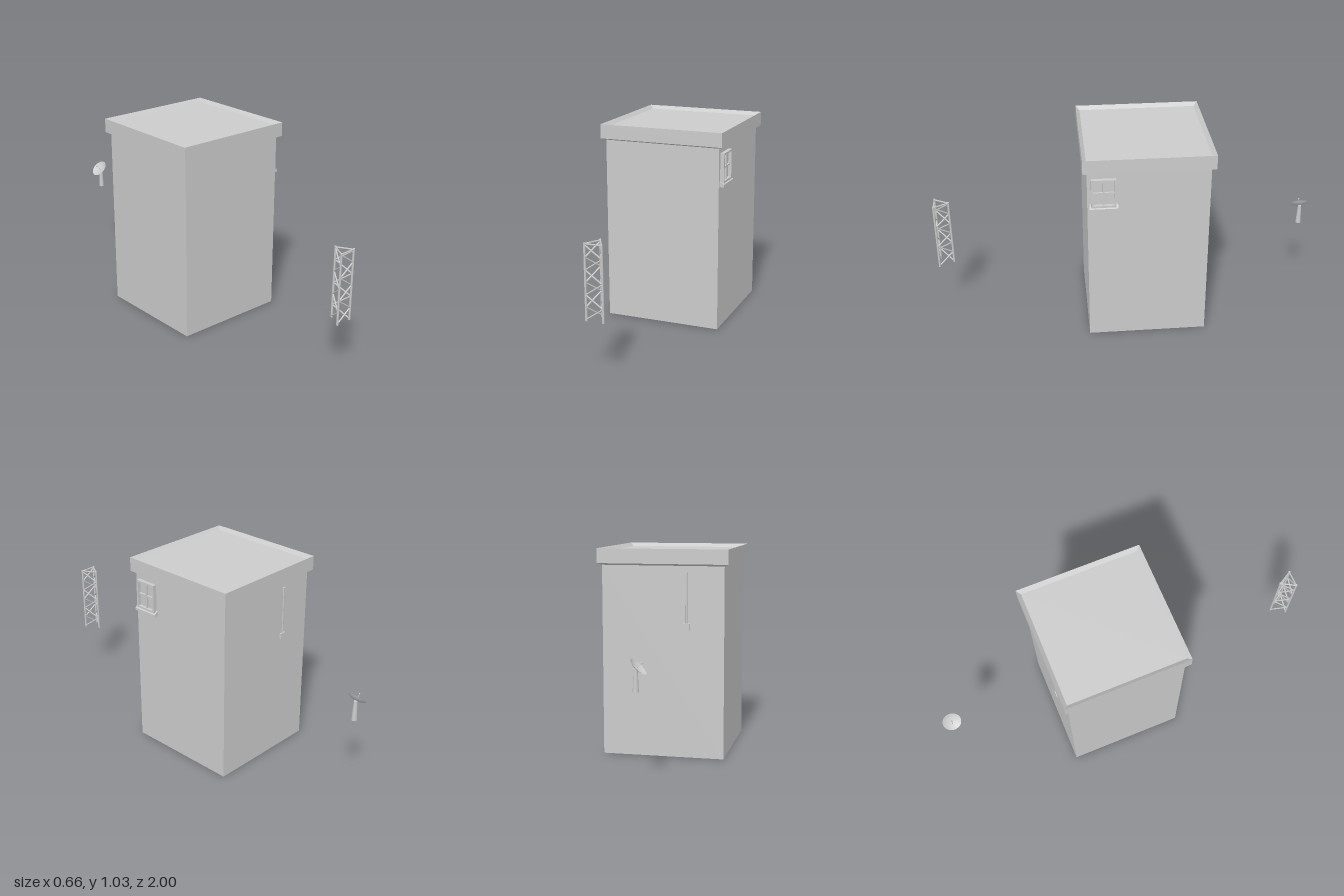
import * as THREE from 'three';

const flat = new THREE.MeshStandardMaterial({ color: 0xcccccc, flatShading: true, side: THREE.DoubleSide });
const smooth = new THREE.MeshStandardMaterial({ color: 0xcccccc, side: THREE.DoubleSide });
const V = (x, y, z) => new THREE.Vector3(x, y, z);

function add(parent, name, geometry, material = flat) {
  const mesh = new THREE.Mesh(geometry, material);
  mesh.name = name;
  parent.add(mesh);
  return mesh;
}

function box(parent, name, w, h, d, x, y, z) {
  add(parent, name, new THREE.BoxGeometry(w, h, d)).position.set(x, y, z);
}

// Round bar between two points
function bar(parent, name, a, b, radius, sides = 6) {
  const mesh = add(parent, name, new THREE.CylinderGeometry(radius, radius, a.distanceTo(b), sides), smooth);
  mesh.position.copy(a).add(b).multiplyScalar(0.5);
  mesh.quaternion.setFromUnitVectors(V(0, 1, 0), b.clone().sub(a).normalize());
}

// Square solid of revolution: profile of [half width, height]
function squareLathe(profile) {
  const points = profile.map(([r, y]) => new THREE.Vector2(r * Math.SQRT2, y));
  return new THREE.LatheGeometry(points, 4, Math.PI / 4);
}

function createBuilding() {
  const building = new THREE.Group();
  building.name = 'building';
  const walls = add(building, 'walls', squareLathe([[0, 0], [0.306, 0], [0.306, 0.953]]));
  // Overhanging cap with chamfered underside and shallow sunken roof
  const roof = add(building, 'roofCap', squareLathe([
    [0.306, 0.953], [0.327, 0.962], [0.327, 1.035], [0.307, 1.017], [0, 1.017]]));
  for (const part of [walls, roof]) part.position.set(-0.003, 0, -0.093);
  return building;
}

function createWindow() {
  const win = new THREE.Group();
  win.name = 'window';
  const zMid = 0.132, yLow = 0.775, yHigh = 0.926, halfW = 0.062, t = 0.01;
  const yMid = (yLow + yHigh) / 2, h = yHigh - yLow;
  // Outer frame
  for (const s of [-1, 1]) {
    box(win, 'frameSide', 0.022, h, t, 0.312, yMid, zMid + s * (halfW - t / 2));
    box(win, 'frameRail', 0.022, t, 2 * halfW - 2 * t, 0.312, yMid + s * (h / 2 - t / 2), zMid);
  }
  // Glass and cross bars
  box(win, 'glass', 0.006, h - t, 2 * halfW - t, 0.303, yMid, zMid);
  box(win, 'mullion', 0.014, h - t, 0.008, 0.309, yMid, zMid);
  box(win, 'transom', 0.014, 0.008, 2 * halfW - t, 0.309, yMid, zMid);
  // Sloping sill
  const profile = new THREE.Shape([
    new THREE.Vector2(0.301, 0.757), new THREE.Vector2(0.328, 0.757),
    new THREE.Vector2(0.328, 0.77), new THREE.Vector2(0.301, 0.787)]);
  const sill = add(win, 'sill', new THREE.ExtrudeGeometry(profile, { depth: 0.142, bevelEnabled: false }));
  sill.position.z = zMid - 0.071;
  return win;
}

function createWallConduit() {
  const conduit = new THREE.Group();
  conduit.name = 'wallConduit';
  const x = -0.123, z = -0.402;
  bar(conduit, 'pipe', V(x, 0.665, z), V(x, 0.915, z), 0.004, 8);
  box(conduit, 'pipeCap', 0.013, 0.012, 0.012, x, 0.916, z);
  box(conduit, 'junctionBox', 0.033, 0.032, 0.014, x, 0.656, z);
  return conduit;
}

function createLatticeMast() {
  const mast = new THREE.Group();
  mast.name = 'latticeMast';
  const bottom = 0.295, top = 0.662, steps = 6;
  const corners = [[-0.046, 0.994], [0.038, 0.994], [-0.004, 0.921]];
  const at = (i, y) => V(corners[i % 3][0], y, corners[i % 3][1]);
  for (let i = 0; i < 3; i++) {
    bar(mast, 'mastLeg', at(i, bottom), at(i, top), 0.0055, 8);
    bar(mast, 'topBar', at(i, 0.657), at(i + 1, 0.657), 0.004);
    // Zigzag bracing on each face
    const low = 0.302, rise = (0.652 - low) / steps;
    for (let k = 0; k < steps; k++) {
      const odd = k % 2;
      bar(mast, 'brace', at(i + odd, low + k * rise), at(i + 1 - odd, low + (k + 1) * rise), 0.004);
    }
  }
  return mast;
}

function createDishAntenna() {
  const antenna = new THREE.Group();
  antenna.name = 'dishAntenna';
  const stand = add(antenna, 'dishStand', new THREE.CylinderGeometry(0.009, 0.014, 0.104, 16), smooth);
  stand.position.set(-0.01, 0.49, -0.952);

  // Bowl opens along local +y, then tilts toward -x
  const head = new THREE.Group();
  head.name = 'dishHead';
  head.position.set(-0.013, 0.542, -0.952);
  head.rotation.z = Math.PI / 4;
  antenna.add(head);
  const curve = [];
  for (let i = 0; i <= 8; i++) curve.push(new THREE.Vector2(0.048 * i / 8, 0.013 * (i / 8) ** 2));
  add(head, 'dishBowl', new THREE.LatheGeometry(curve, 28), smooth);
  bar(head, 'feedRod', V(0, 0, 0), V(0, 0.036, 0), 0.0008);
  add(head, 'feedHorn', new THREE.SphereGeometry(0.0035, 10, 8), smooth).position.y = 0.037;
  return antenna;
}

export function createModel() {
  const model = new THREE.Group();
  model.name = 'rooftopTower';
  model.add(createBuilding(), createWindow(), createWallConduit(), createLatticeMast(), createDishAntenna());
  return model;
}
